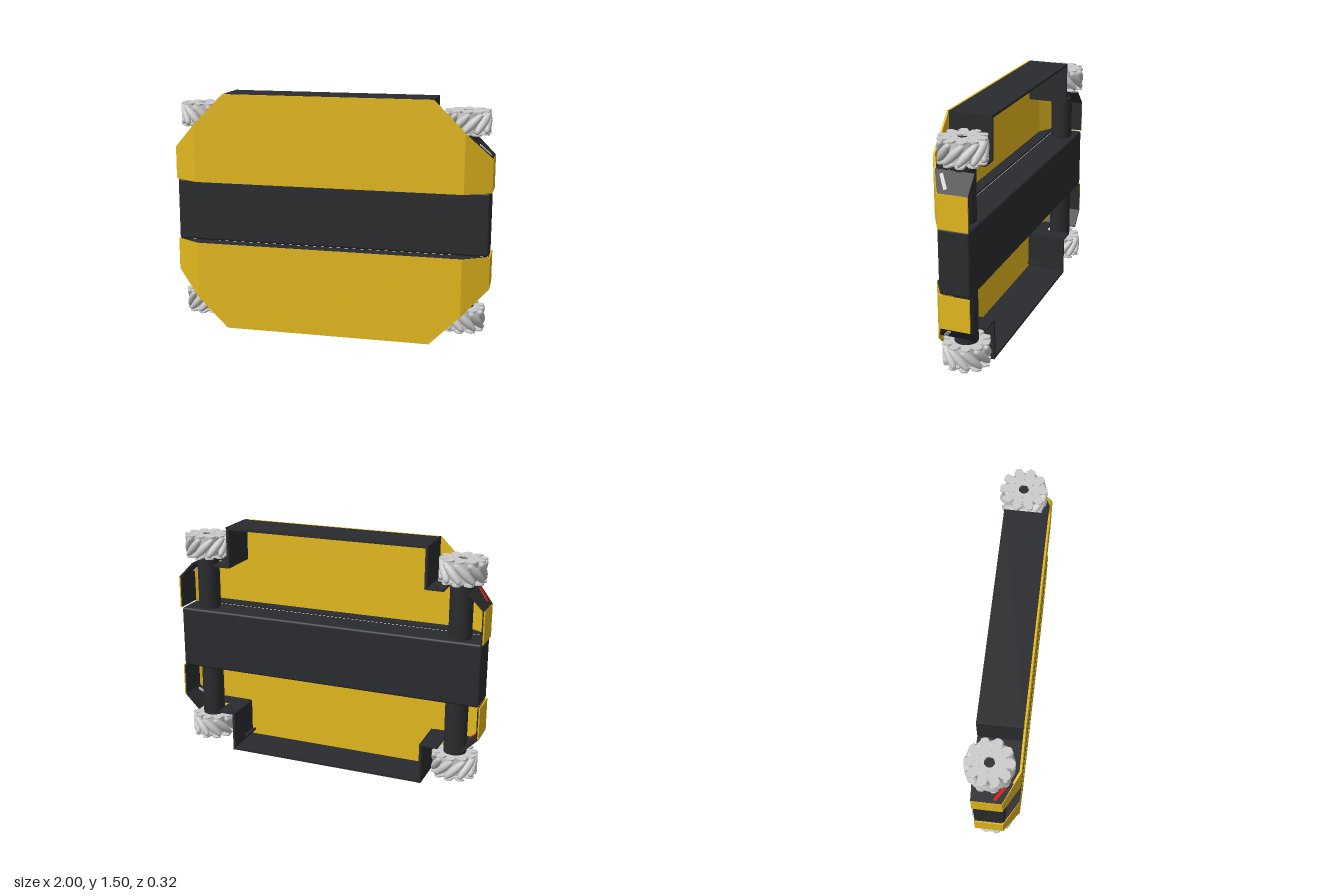
import * as THREE from 'three';
import { RoundedBoxGeometry } from 'three/addons/geometries/RoundedBoxGeometry.js';

const H = 1.505;         // overall height
const AXIS_Z = -0.015;   // depth of beam, leg and wheel axes
const BACK = -0.11, FRONT = 0.16;

const mat = (color) => new THREE.MeshStandardMaterial({ color });
const yellow = mat(0xe3b81e), dark = mat(0x2a2b2e), grey = mat(0xcccccc);
const white = mat(0xe8e8e8), red = mat(0xd01010);

function add(parent, name, geometry, material, x = 0, y = 0, z = 0) {
  const mesh = new THREE.Mesh(geometry, material);
  mesh.name = name;
  mesh.position.set(x, y, z);
  parent.add(mesh);
  return mesh;
}

// Convex sheet: corners run counterclockwise seen from outside, thickness goes inward
function panel(corners, thickness) {
  const outer = corners.map((c) => new THREE.Vector3(...c));
  const normal = new THREE.Vector3().crossVectors(
    outer[1].clone().sub(outer[0]), outer[2].clone().sub(outer[0])).normalize();
  const inner = outer.map((p) => p.clone().addScaledVector(normal, -thickness));
  const points = [];
  const n = outer.length;
  for (let i = 1; i < n - 1; i++) {
    points.push(outer[0], outer[i], outer[i + 1], inner[0], inner[i + 1], inner[i]);
  }
  for (let i = 0; i < n; i++) {
    const j = (i + 1) % n;
    points.push(outer[i], inner[i], inner[j], outer[i], inner[j], outer[j]);
  }
  const geometry = new THREE.BufferGeometry().setFromPoints(points);
  geometry.computeVertexNormals();
  return geometry;
}

// One cover shell, described for the lower half and the +x side, then mirrored
function cover(top) {
  const group = new THREE.Group();
  group.name = top ? 'upperCover' : 'lowerCover';
  const sheet = (name, corners, material, sx = 1, thickness = 0.012) => {
    const c = corners.map(([x, y, z]) => [sx * x, top ? H - y : y, z]);
    if ((sx < 0) !== top) c.reverse();
    add(group, name, panel(c, thickness), material);
  };

  sheet('frontPlate', [[-0.65, 0, FRONT], [0.65, 0, FRONT], [0.84, 0.19, FRONT],
    [0.84, 0.555, FRONT], [-0.84, 0.555, FRONT], [-0.84, 0.19, FRONT]], yellow);
  sheet('outerWall', [[-0.65, 0.001, BACK], [0.65, 0.001, BACK],
    [0.65, 0.001, 0.155], [-0.65, 0.001, 0.155]], dark, 1, 0.016);
  sheet('innerLip', [[-0.84, 0.556, 0.158], [0.84, 0.556, 0.158],
    [0.98, 0.556, 0.075], [-0.98, 0.556, 0.075]], dark);

  for (const sx of [1, -1]) {
    sheet('bevelPlate', [[0.84, 0.19, FRONT], [1, 0.35, 0.07],
      [1, 0.555, 0.07], [0.84, 0.555, FRONT]], yellow, sx);
    sheet('sidePlate', [[1, 0.35, 0.07], [1, 0.35, BACK],
      [1, 0.555, BACK], [1, 0.555, 0.07]], yellow, sx, 0.008);
    sheet('sideLining', [[0.992, 0.35, 0.07], [0.992, 0.35, BACK],
      [0.992, 0.55, BACK], [0.992, 0.55, 0.07]], dark, sx, 0.008);

    // Wheel well
    sheet('wellWall', [[0.65, 0, 0.155], [0.65, 0, BACK],
      [0.65, 0.26, BACK], [0.65, 0.26, 0.155]], dark, sx, 0.016);
    sheet('wellShelf', [[0.65, 0.25, BACK], [0.75, 0.25, BACK],
      [0.75, 0.25, 0.155], [0.65, 0.25, 0.155]], dark, sx);
    sheet('wellShelfFront', [[0.75, 0.25, 0.06], [0.9, 0.25, 0.06],
      [0.9, 0.25, 0.122], [0.84, 0.25, 0.155], [0.75, 0.25, 0.155]], dark, sx);
    sheet('wellTab', [[0.61, 0.045, 0.03], [0.65, 0.045, 0.03],
      [0.65, 0.045, 0.15], [0.61, 0.045, 0.15]], dark, sx);
    sheet('cornerPanel', [[0.9, 0.25, 0.122], [0.9, 0.25, BACK],
      [0.998, 0.35, BACK], [0.998, 0.35, 0.068]], dark, sx);

    // Slanted lamp set through the corner panel
    const a = [0.922, 0.264, 0.075], b = [0.984, 0.329, 0.025], w = [0.003, 0.0035, 0.009];
    const off = (p, s) => p.map((v, i) => v + s * w[i]);
    sheet('cornerLamp', [off(a, 1), off(a, -1), off(b, -1), off(b, 1)],
      sx > 0 ? white : red, sx, 0.022);
  }
  return group;
}

// Ring extruded along y and centred, with optional bolt holes
function plate(outline, depth, bore, bolts = 0) {
  const shape = new THREE.Shape(outline);
  const hole = (x, y, r) => shape.holes.push(new THREE.Path().absarc(x, y, r, 0, Math.PI * 2, true));
  hole(0, 0, bore);
  for (let i = 0; i < bolts; i++) {
    const a = (i / bolts) * Math.PI * 2;
    hole(0.06 * Math.cos(a), 0.06 * Math.sin(a), 0.006);
  }
  return new THREE.ExtrudeGeometry(shape, { depth, bevelEnabled: false, curveSegments: 12 })
    .translate(0, 0, -depth / 2).rotateX(-Math.PI / 2);
}
const polar = (r, a) => new THREE.Vector2(r * Math.cos(a), r * Math.sin(a));

// Wheel with ten slanted barrel rollers between two toothed discs
function wheel(tilt) {
  const group = new THREE.Group();
  group.name = 'wheel';
  const count = 10, radius = 0.142, axleRadius = 0.117, half = 0.08;

  const teeth = [], round = [];
  for (let i = 0; i < count; i++) {
    const a = (i / count) * Math.PI * 2;
    for (const [r, da] of [[0.088, 0], [0.136, 0.2], [0.141, 0.32], [0.139, 0.45], [0.12, 0.6]]) {
      teeth.push(polar(r, (a + da)));
    }
    for (let k = 0; k < 3; k++) round.push(polar(0.082, a + k * Math.PI / 15));
  }
  const disc = plate(teeth, 0.009, 0.03, 6);
  add(group, 'outerDisc', disc, grey, 0, 0.067, 0);
  add(group, 'innerDisc', disc, grey, 0, -0.067, 0).rotation.x = Math.PI;
  add(group, 'hub', plate(round, 0.125, 0.03), grey);
  add(group, 'axle', new THREE.CylinderGeometry(0.031, 0.031, 0.125, 6), dark);

  // Barrel profile follows the wheel's outer cylinder
  const profile = [new THREE.Vector2(0, -half)];
  for (let i = 0; i <= 10; i++) {
    const s = half * (i / 5 - 1);
    profile.push(new THREE.Vector2(radius - Math.hypot(axleRadius, s * Math.SQRT1_2), s));
  }
  profile.push(new THREE.Vector2(0, half));
  const barrel = new THREE.LatheGeometry(profile, 16);
  for (let i = 0; i < count; i++) {
    const arm = new THREE.Group();
    arm.name = 'rollerMount';
    arm.rotation.y = (i / count) * Math.PI * 2;
    add(arm, 'roller', barrel, grey, axleRadius).rotation.x = tilt;
    group.add(arm);
  }
  return group;
}

export function createModel() {
  const model = new THREE.Group();
  model.name = 'wheeledPlatform';

  add(model, 'centralBeam', new RoundedBoxGeometry(1.98, 0.395, 0.19, 3, 0.015), dark,
    0, H / 2, AXIS_Z);
  model.add(cover(false), cover(true));

  // Motor legs and wheels at the four corners
  for (const sx of [1, -1]) {
    for (const sy of [1, -1]) {
      const at = (d) => H / 2 + sy * d;
      add(model, 'motorLeg', new THREE.CylinderGeometry(0.07, 0.07, 0.36, 32), dark,
        sx * 0.835, at(0.365), AXIS_Z);
      const w = wheel(-sx * sy * Math.PI / 4);
      w.position.set(sx * 0.835, at(0.61), AXIS_Z);
      model.add(w);
    }
  }
  return model;
}
